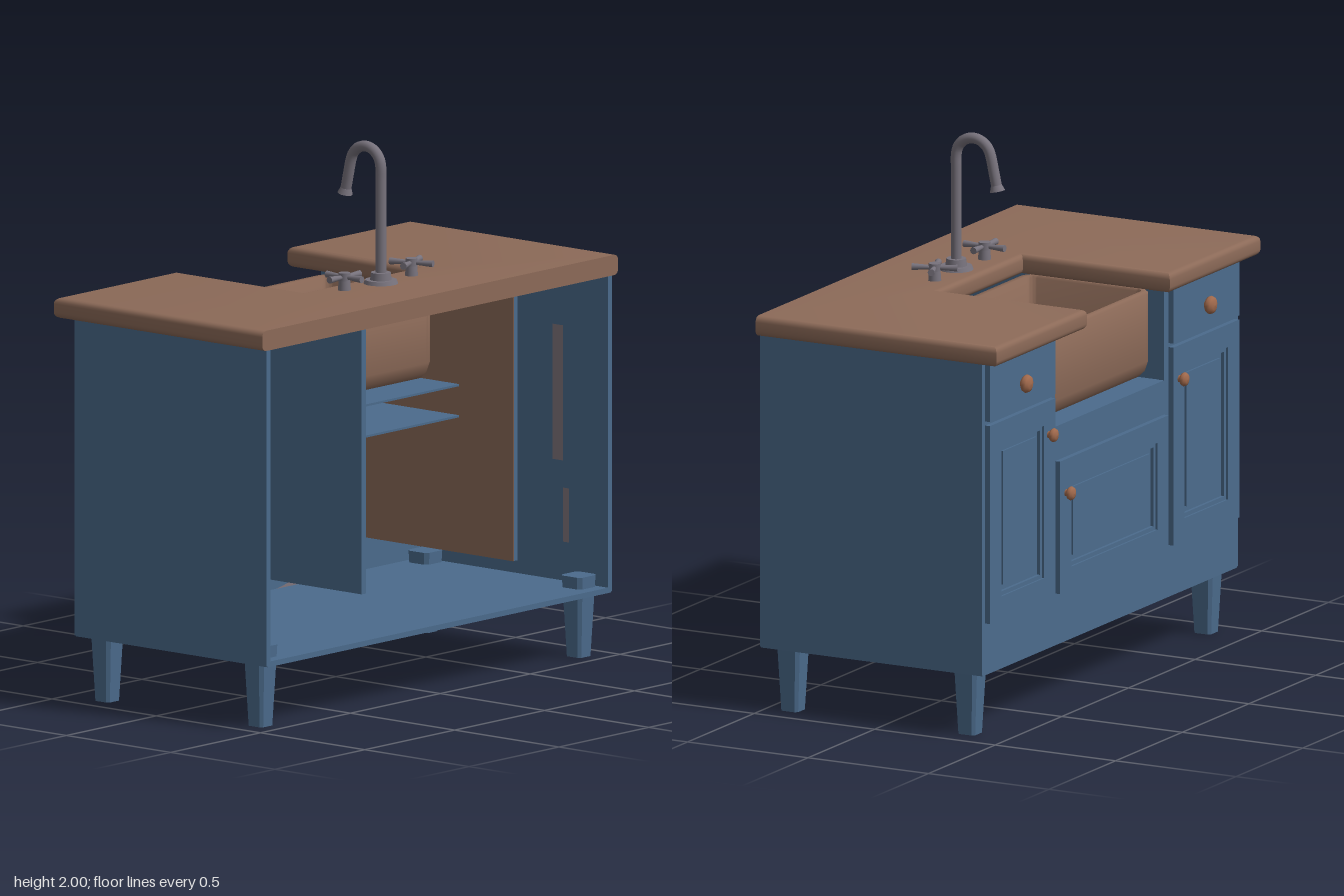
import * as THREE from 'three';
import { toCreasedNormals } from 'three/addons/utils/BufferGeometryUtils.js';

const mat = (name, color, side = THREE.FrontSide) => {
  const m = new THREE.MeshStandardMaterial({ color, side });
  m.name = name;
  return m;
};

export function createModel() {
  const model = new THREE.Group();
  model.name = 'sinkCabinet';
  const blue = mat('bluePaint', 0x4b6b8c);
  const wood = mat('wood', 0x8c6a58);
  const knobWood = mat('knobWood', 0xa0694c);
  const metal = mat('metal', 0x77727c);
  const worn = mat('wornPaint', 0x80757c, THREE.DoubleSide);

  const add = (name, geo, material, x = 0, y = 0, z = 0, parent = model) => {
    const m = new THREE.Mesh(geo, material);
    m.name = name;
    m.position.set(x, y, z);
    parent.add(m);
    return m;
  };
  // Box given by its limits on each axis
  const block = (name, material, x0, x1, y0, y1, z0, z1) =>
    add(name, new THREE.BoxGeometry(x1 - x0, y1 - y0, z1 - z0), material, (x0 + x1) / 2, (y0 + y1) / 2, (z0 + z1) / 2);
  const poly = (pts) => new THREE.Shape(pts.map((p) => new THREE.Vector2(...p)));
  const rect = (a0, b0, a1, b1) => poly([[a0, b0], [a1, b0], [a1, b1], [a0, b1]]);
  // Plate drawn in (z, y), with its back at x and its thickness toward -x
  const frontPlate = (name, shape, depth, x, material) => {
    const g = new THREE.ExtrudeGeometry(shape, { depth, bevelEnabled: false });
    g.rotateY(-Math.PI / 2);
    return add(name, g, material, x);
  };

  // Countertop: rounded edges, with the back cut flat
  const r = 0.022;
  const topShape = poly([
    [-0.5 + r, -0.99 + r], [0.5, -0.99 + r], [0.5, 0.99 - r], [-0.5 + r, 0.99 - r],
    [-0.5 + r, 0.31 + r], [0.11 + r, 0.31 + r], [0.11 + r, -0.31 - r], [-0.5 + r, -0.31 - r],
  ]);
  let top = new THREE.ExtrudeGeometry(topShape, {
    depth: 0.075 - 2 * r, bevelEnabled: true, bevelSize: r, bevelThickness: r, bevelSegments: 4,
  });
  top.rotateX(Math.PI / 2);
  const tp = top.attributes.position;
  for (let i = 0; i < tp.count; i++) tp.setX(i, Math.min(tp.getX(i), 0.5));
  top = toCreasedNormals(top, 0.7);
  add('countertop', top, wood, 0, 1.482 - r, 0);

  // Carcass, open at the back
  block('leftSide', blue, -0.42, 0.5, 0.24, 1.408, 0.945, 0.967);
  block('rightSide', blue, -0.42, 0.5, 0.24, 1.408, -0.955, -0.933);
  block('floor', blue, -0.42, 0.5, 0.236, 0.256, -0.95, 0.96);
  frontPlate('frontPanel', poly([
    [-0.95, 0.25], [0.96, 0.25], [0.96, 1.408], [0.41, 1.408],
    [0.41, 1.05], [-0.405, 1.05], [-0.405, 1.408], [-0.95, 1.408],
  ]), 0.02, -0.4, blue);
  block('leftPartition', blue, -0.4, 0.5, 0.43, 1.408, 0.412, 0.437);
  block('rightPartition', blue, -0.4, 0.498, 0.43, 1.408, -0.433, -0.411);
  block('partitionFacing', wood, -0.4, 0.5, 0.43, 1.408, -0.411, -0.406);

  // Two shelves below the sink
  for (const y of [0.93, 1.045]) block('sinkShelf', blue, -0.42, 0.24, y, y + 0.008, -0.442, 0.437);

  // Tapered, chamfered legs
  const c = 0.014, h = 0.05;
  const legShape = poly([[h, c - h], [h, h - c], [h - c, h], [c - h, h], [-h, h - c], [-h, c - h], [c - h, -h], [h - c, -h]]);
  let legGeo = new THREE.ExtrudeGeometry(legShape, { depth: 0.3, bevelEnabled: false });
  legGeo.rotateX(-Math.PI / 2);
  const lp = legGeo.attributes.position;
  for (let i = 0; i < lp.count; i++) {
    const s = 0.7 + lp.getY(i);
    lp.setX(i, lp.getX(i) * s);
    lp.setZ(i, lp.getZ(i) * s);
  }
  legGeo.computeVertexNormals();
  for (const x of [-0.33, 0.405]) for (const z of [-0.88, 0.89]) add('leg', legGeo, blue, x, 0, z);

  // Framed doors: outer frame, stepped moulding and sunken panel
  const door = (name, z0, z1, y0, y1) => {
    const frame = (n, inset, width, depth) => {
      const s = rect(z0 + inset, y0 + inset, z1 - inset, y1 - inset);
      const k = inset + width;
      s.holes.push(rect(z0 + k, y0 + k, z1 - k, y1 - k));
      frontPlate(name + n, s, depth, -0.42, blue);
    };
    frame('Frame', 0, 0.085, 0.02);
    frame('Moulding', 0.085, 0.015, 0.012);
    frontPlate(name + 'Panel', rect(z0 + 0.12, y0 + 0.12, z1 - 0.12, y1 - 0.12), 0.008, -0.42, blue);
  };
  door('rightDoor', -0.93, -0.44, 0.43, 1.17);
  door('leftDoor', 0.445, 0.94, 0.43, 1.17);
  door('middleDoor', -0.405, 0.41, 0.43, 0.925);
  block('rightDrawer', blue, -0.44, -0.42, 1.185, 1.408, -0.93, -0.44);
  block('leftDrawer', blue, -0.44, -0.42, 1.185, 1.408, 0.445, 0.94);

  // Turned knobs
  const knobGeo = new THREE.LatheGeometry(
    [[0.5, 0], [0.45, 0.35], [0.85, 0.5], [1, 0.8], [0.85, 1.15], [0.5, 1.33], [0, 1.4]].map((p) => new THREE.Vector2(...p)), 20);
  knobGeo.rotateZ(Math.PI / 2);
  for (const [y, z, s] of [[1.28, -0.69, 0.034], [1.28, 0.69, 0.034], [1.045, -0.49, 0.026], [1.045, 0.49, 0.026], [0.8, -0.36, 0.026]]) {
    add('knob', knobGeo, knobWood, s > 0.03 ? -0.432 : -0.44, y, z).scale.setScalar(s);
  }

  // Sink basin: rounded rectangles lofted up the outside and down the inside
  const sections = [
    [1, 1.06], [0.07, 1.06], [0.035, 1.07], [0.012, 1.092], [0, 1.13], [0, 1.382], [0.008, 1.39],
    [0.026, 1.39], [0.032, 1.382], [0.034, 1.14], [0.046, 1.105], [0.075, 1.09], [1, 1.088],
  ];
  const n = 32, pos = [], idx = [];
  for (const [d, y] of sections) {
    const hx = Math.max(0.265 - d, 0), hz = Math.max(0.398 - d, 0);
    const cr = Math.min(Math.max(0.06 - d, 0.025), hx, hz);
    for (let i = 0; i < n; i++) {
      const q = Math.floor(i / 8);
      const a = (q + (i % 8) / 7) * Math.PI / 2;
      const sx = q === 0 || q === 3 ? 1 : -1, sz = q < 2 ? 1 : -1;
      pos.push(sx * (hx - cr) + Math.cos(a) * cr, y, sz * (hz - cr) + Math.sin(a) * cr);
    }
  }
  for (let j = 0; j < sections.length - 1; j++) for (let i = 0; i < n; i++) {
    const a = j * n + i, b = j * n + (i + 1) % n;
    idx.push(a, a + n, b, b, a + n, b + n);
  }
  const basin = new THREE.BufferGeometry();
  basin.setAttribute('position', new THREE.Float32BufferAttribute(pos, 3));
  basin.setIndex(idx);
  add('sinkBasin', toCreasedNormals(basin, 0.8), wood, -0.115, 0, 0.012);

  // Gooseneck tap
  const tap = new THREE.Group();
  tap.name = 'tap';
  tap.position.set(0.215, 0, 0);
  model.add(tap);
  const cyl = (r1, r2, len, seg = 24) => new THREE.CylinderGeometry(r1, r2, len, seg);
  add('tapBase', cyl(0.058, 0.064, 0.016), metal, 0, 1.488, 0, tap);
  add('tapCollar', cyl(0.036, 0.04, 0.03), metal, 0, 1.508, 0, tap);
  const path = [[0, 1.49], [0, 1.6], [0, 1.75], [0, 1.87]];
  for (let i = 0; i <= 8; i++) {
    const a = (i / 8) * 2.9;
    path.push([-0.072 + 0.072 * Math.cos(a), 1.908 + 0.072 * Math.sin(a)]);
  }
  path.push([-0.157, 1.86], [-0.168, 1.81]);
  const curve = new THREE.CatmullRomCurve3(path.map(([x, y]) => new THREE.Vector3(x, y, 0)));
  add('tapPipe', new THREE.TubeGeometry(curve, 60, 0.02, 14), metal, 0, 0, 0, tap);
  add('tapNozzle', cyl(0.02, 0.028, 0.022), metal, -0.169, 1.804, 0, tap).rotation.z = -0.22;

  // Cross handles
  for (const [z, turn] of [[0.185, 0], [-0.188, 0.35]]) {
    const handle = new THREE.Group();
    handle.name = 'tapHandle';
    handle.position.set(0.2, 0, z);
    handle.rotation.y = turn;
    model.add(handle);
    add('handleFoot', cyl(0.02, 0.024, 0.05), metal, 0, 1.505, 0, handle);
    add('handleHub', cyl(0.022, 0.022, 0.028), metal, 0, 1.532, 0, handle);
    for (let k = 0; k < 4; k++) {
      const arm = new THREE.Group();
      arm.name = 'handleArm';
      arm.rotation.y = k * Math.PI / 2;
      handle.add(arm);
      add('armRod', cyl(0.013, 0.008, 0.068, 12), metal, 0.05, 1.53, 0, arm).rotation.z = -Math.PI / 2;
    }
  }

  // Worn paint patches: [z, y] outlines inside the front panel
  for (const pts of [
    [[0.46, 0.82], [0.43, 0.82], [0.435, 0.6], [0.37, 0.47], [0.37, 0.42], [0.42, 0.43], [0.475, 0.55]],
    [[-0.55, 1.17], [-0.57, 1.17], [-0.575, 1], [-0.55, 1]],
    [[-0.61, 1.17], [-0.63, 1.17], [-0.63, 0.97], [-0.615, 0.98]],
    [[0.9, 1.05], [0.87, 1.03], [0.875, 1]],
    [[-0.1, 0.25], [-0.2, 0.27], [-0.3, 0.25]],
  ]) add('wornPatch', new THREE.ShapeGeometry(poly(pts)).rotateY(-Math.PI / 2), worn, -0.398);
  // and streaks inside the right side and on the right partition
  for (const [x, y, w, len, z] of [[0.26, 0.95, 0.05, 0.5, -0.931], [0.3, 0.5, 0.03, 0.2, -0.931], [0.3, 0.75, 0.04, 0.2, -0.435], [0.1, 0.7, 0.03, 0.16, -0.435]]) {
    add('wornStreak', new THREE.PlaneGeometry(w, len), worn, x, y, z);
  }
  return model;
}
